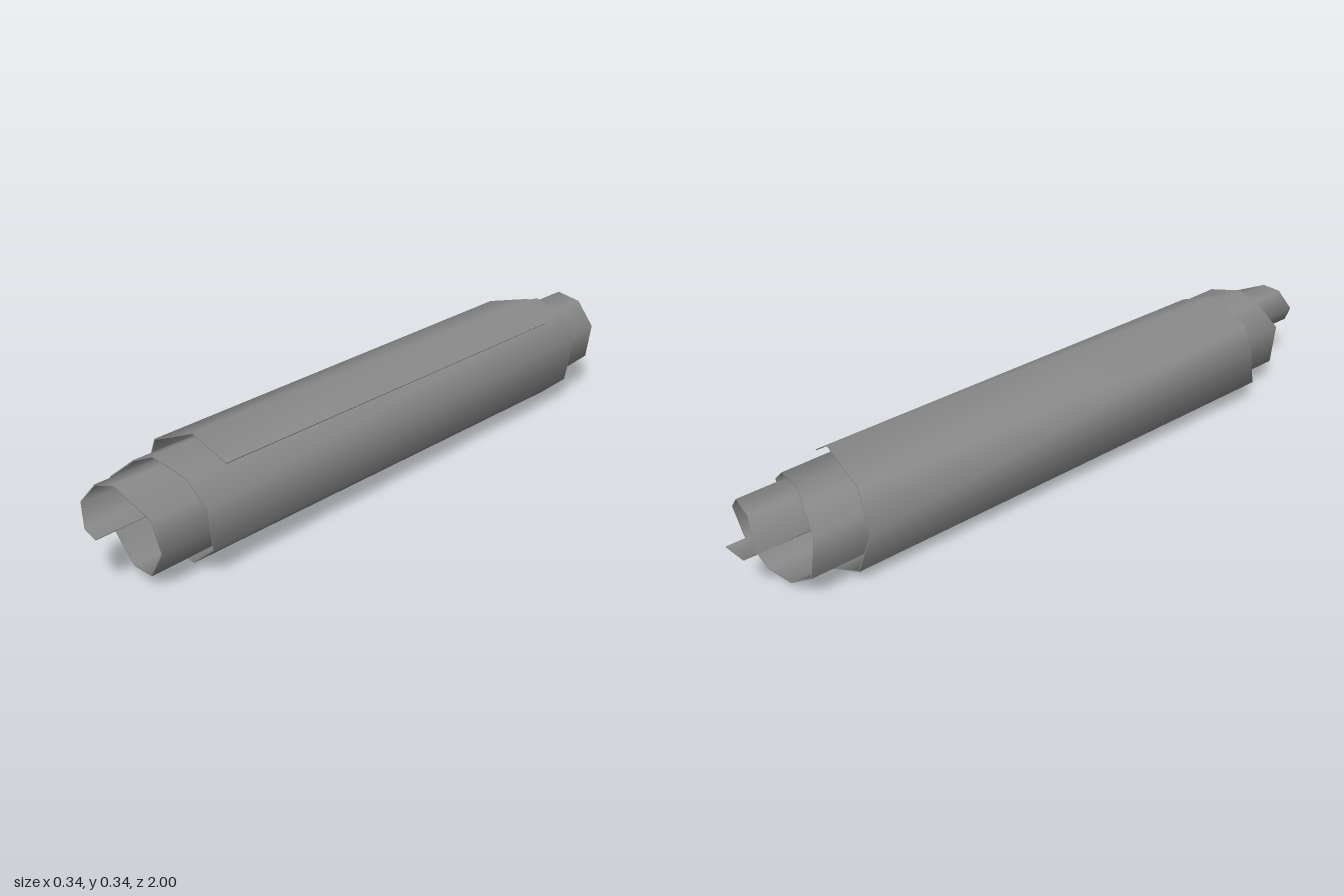
import * as THREE from 'three';
import { mergeGeometries } from 'three/addons/utils/BufferGeometryUtils.js';

const THICKNESS = 0.003;

// Spiral edges of the sheet, from the outer flap to the inner curl: x, y
const FRONT = [
  [0.1, 0.28], [-0.01, 0.331], [-0.145, 0.278], [-0.166, 0.195], [-0.172, 0.08], [-0.055, 0.015],
  [0.045, 0.012], [0.14, 0.09], [0.14, 0.21], [0.09, 0.28], [-0.015, 0.312], [-0.07, 0.289],
  [-0.148, 0.225], [-0.125, 0.085], [-0.035, 0.026], [0.05, 0.038], [0.117, 0.13], [0.105, 0.225],
  [-0.005, 0.285], [-0.055, 0.278], [-0.095, 0.225], [-0.065, 0.168], [0, 0.168],
];
const BACK = [
  [0.13, 0.286], [0.05, 0.345], [-0.105, 0.3], [-0.165, 0.195], [-0.115, 0.053], [-0.005, 0.001],
  [0.08, 0.013], [0.151, 0.073], [0.172, 0.218], [0.1, 0.284], [0, 0.304], [-0.055, 0.28],
  [-0.118, 0.225], [-0.11, 0.1], [-0.025, 0.04], [0.06, 0.042], [0.14, 0.11], [0.147, 0.212],
  [0.08, 0.28], [-0.01, 0.288], [-0.06, 0.205], [-0.02, 0.172], [0.032, 0.192],
];

// Places an edge in depth; each inner turn sticks out further than the last
function edge(points, side, inset) {
  const last = points.length - 1;
  return points.map(([x, y], i) => {
    const a = points[Math.max(i - 1, 0)], b = points[Math.min(i + 1, last)];
    const tx = b[0] - a[0], ty = b[1] - a[1], len = Math.hypot(tx, ty);
    const z = side * (0.67 + 0.33 * Math.pow(i / last, 1.13));
    return [x - (ty / len) * inset, y + (tx / len) * inset, z];
  });
}

// Surface stretched between two edges with the same number of points;
// inward turns its front to the other side and keeps the same diagonals
function strip(a, b, inward = false) {
  const index = [];
  for (let i = 0; i < a.length - 1; i++) {
    const p = 2 * i;
    if (inward) index.push(p, p + 3, p + 1, p, p + 2, p + 3);
    else index.push(p, p + 1, p + 3, p, p + 3, p + 2);
  }
  const geometry = new THREE.BufferGeometry();
  const position = a.flatMap((p, i) => [...p, ...b[i]]);
  geometry.setAttribute('position', new THREE.Float32BufferAttribute(position, 3));
  geometry.setIndex(index);
  geometry.computeVertexNormals();
  return geometry;
}

export function createModel() {
  const frontOut = edge(FRONT, 1, 0), frontIn = edge(FRONT, 1, THICKNESS);
  const backOut = edge(BACK, -1, 0), backIn = edge(BACK, -1, THICKNESS);
  const n = FRONT.length - 1;

  // Outer face, inner face, front and back rims, then the two end edges
  const geometry = mergeGeometries([
    strip(frontOut, backOut),
    strip(frontIn, backIn, true),
    strip(frontIn, frontOut),
    strip(backOut, backIn),
    strip([frontOut[0], backOut[0]], [frontIn[0], backIn[0]]),
    strip([frontIn[n], backIn[n]], [frontOut[n], backOut[n]]),
  ]);

  const sheet = new THREE.Mesh(geometry, new THREE.MeshStandardMaterial({ color: 0x888888 }));
  sheet.name = 'rolledSheet';
  const group = new THREE.Group();
  group.name = 'scroll';
  group.add(sheet);
  return group;
}
